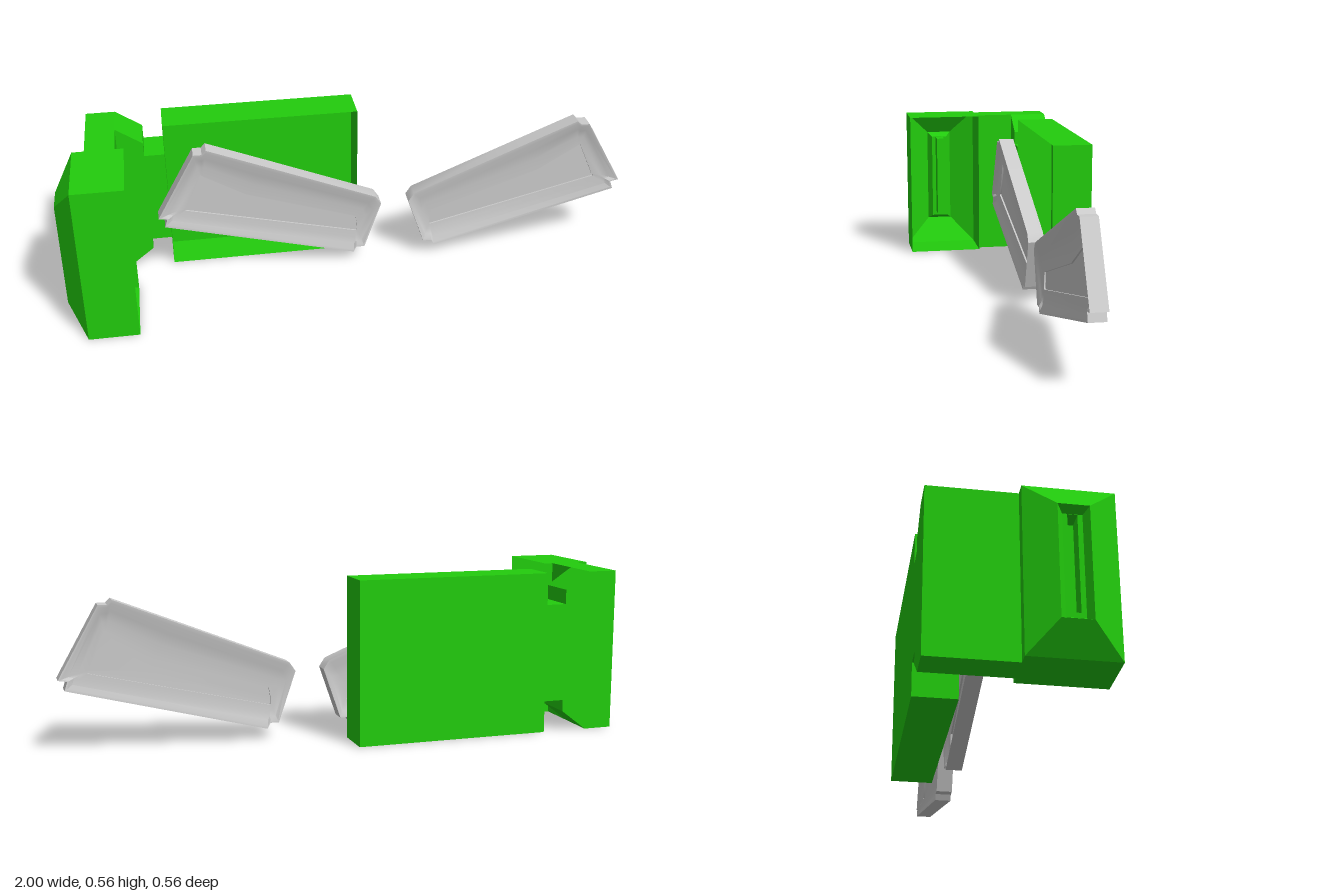
import * as THREE from 'three';
import { toCreasedNormals } from 'three/addons/utils/BufferGeometryUtils.js';

const green = new THREE.MeshStandardMaterial({ color: 0x22cc0d, side: THREE.DoubleSide });
const grey = new THREE.MeshStandardMaterial({ color: 0xcccccc, side: THREE.DoubleSide });

// Skins a list of equal-length point rings
function loft(rings, crease) {
  const n = rings[0].length;
  const index = [];
  for (let i = 0; i < rings.length - 1; i++) {
    for (let j = 0; j < n; j++) {
      const k = (j + 1) % n, a = i * n, b = a + n;
      index.push(a + j, b + k, b + j, a + j, a + k, b + k);
    }
  }
  const geo = new THREE.BufferGeometry();
  geo.setAttribute('position', new THREE.Float32BufferAttribute(rings.flat(2), 3));
  geo.setIndex(index);
  return toCreasedNormals(geo, crease);
}

function add(parent, name, geometry, material) {
  const mesh = new THREE.Mesh(geometry, material);
  mesh.name = name;
  parent.add(mesh);
  return mesh;
}

// Rectangle ring at constant x
const rectX = (x, z0, z1, y0, y1) => [[x, y0, z0], [x, y1, z0], [x, y1, z1], [x, y0, z1]];
// Rectangle ring at constant z
const rectZ = (z, x0, x1, y0, y1) => [[x0, y0, z], [x0, y1, z], [x1, y1, z], [x1, y0, z]];

// Notched blade outline and the matching points of its inner panel
const outline = [[0.21, 0.235], [0.23, 0.265], [0.62, 0.424], [0.82, 0.505], [0.835, 0.49], [0.865, 0.49],
  [1, 0.25], [0.97, 0.245], [0.98, 0.215], [0.31, 0.04], [0.30, 0.06], [0.27, 0.06]];
const panel = [[0.295, 0.15], [0.30, 0.18], [0.69, 0.31], [0.835, 0.395], [0.84, 0.40], [0.845, 0.40],
  [0.90, 0.275], [0.905, 0.27], [0.905, 0.265], [0.30, 0.12], [0.296, 0.121], [0.294, 0.125]];

function bladeGeometry() {
  const mid = -0.068;
  // Blend from the rim (t = 0) to the inner panel (t = 1)
  const ring = (t, h) => outline.map(([x, y], i) =>
    [x + (panel[i][0] - x) * t, y + (panel[i][1] - y) * t, mid + h]);
  const centre = h => outline.map(() => [0.70, 0.26, mid + h]);
  const front = [[0, 0.028], [0.1, 0.027], [0.35, 0.017], [0.65, 0.012], [1, 0.01], [1, 0.004]];
  const rings = [centre(0.004)];
  for (const [t, h] of [...front].reverse()) rings.push(ring(t, h));
  for (const [t, h] of front) rings.push(ring(t, -h));
  rings.push(centre(-0.004));
  return loft(rings, 0.7);
}

export function createModel() {
  const model = new THREE.Group();
  const bracket = new THREE.Group();
  bracket.name = 'bracket';
  model.add(bracket);

  // Hollow housing, open on the inner side, with a bevelled and recessed outer end
  add(bracket, 'housing', loft([
    rectX(-0.77, 0, 0.28, 0, 0.56),
    rectX(-0.94, 0, 0.28, 0, 0.56),
    rectX(-1, 0.092, 0.187, 0.095, 0.467),
    rectX(-0.975, 0.11, 0.17, 0.11, 0.45),
    rectX(-0.975, 0.125, 0.155, 0.127, 0.449),
    rectX(-0.92, 0.125, 0.155, 0.127, 0.449),
    rectX(-0.92, 0.14, 0.14, 0.288, 0.288),
  ], 0.1), green);

  // Upright wall joining the housing to the plate
  const stem = add(bracket, 'stem', new THREE.BoxGeometry(0.1, 0.56, 0.14), green);
  stem.position.set(-0.85, 0.28, -0.07);

  // Tapered neck
  const neck = new THREE.Shape([[-0.9, 0], [-0.8, 0], [-0.71, 0.07], [-0.71, 0.11], [-0.64, 0.11],
    [-0.64, 0.45], [-0.71, 0.45], [-0.71, 0.5], [-0.8, 0.56], [-0.9, 0.56]]
    .map(p => new THREE.Vector2(...p)));
  const neckMesh = add(bracket, 'neck',
    new THREE.ExtrudeGeometry(neck, { depth: 0.14, bevelEnabled: false }), green);
  neckMesh.position.z = -0.28;

  // Hollow plate, open at the front
  add(bracket, 'plate', loft([
    rectZ(-0.14, -0.64, 0.04, 0, 0.56),
    rectZ(-0.28, -0.64, 0.04, 0, 0.56),
    rectZ(-0.28, -0.3, -0.3, 0.28, 0.28),
  ], 0.1), green);

  // Mirrored pair of dished blades
  const blade = bladeGeometry();
  add(model, 'leftBlade', blade, grey);
  const right = add(model, 'rightBlade', blade, grey);
  right.scale.x = -1;
  right.position.x = 0.32;
  return model;
}
